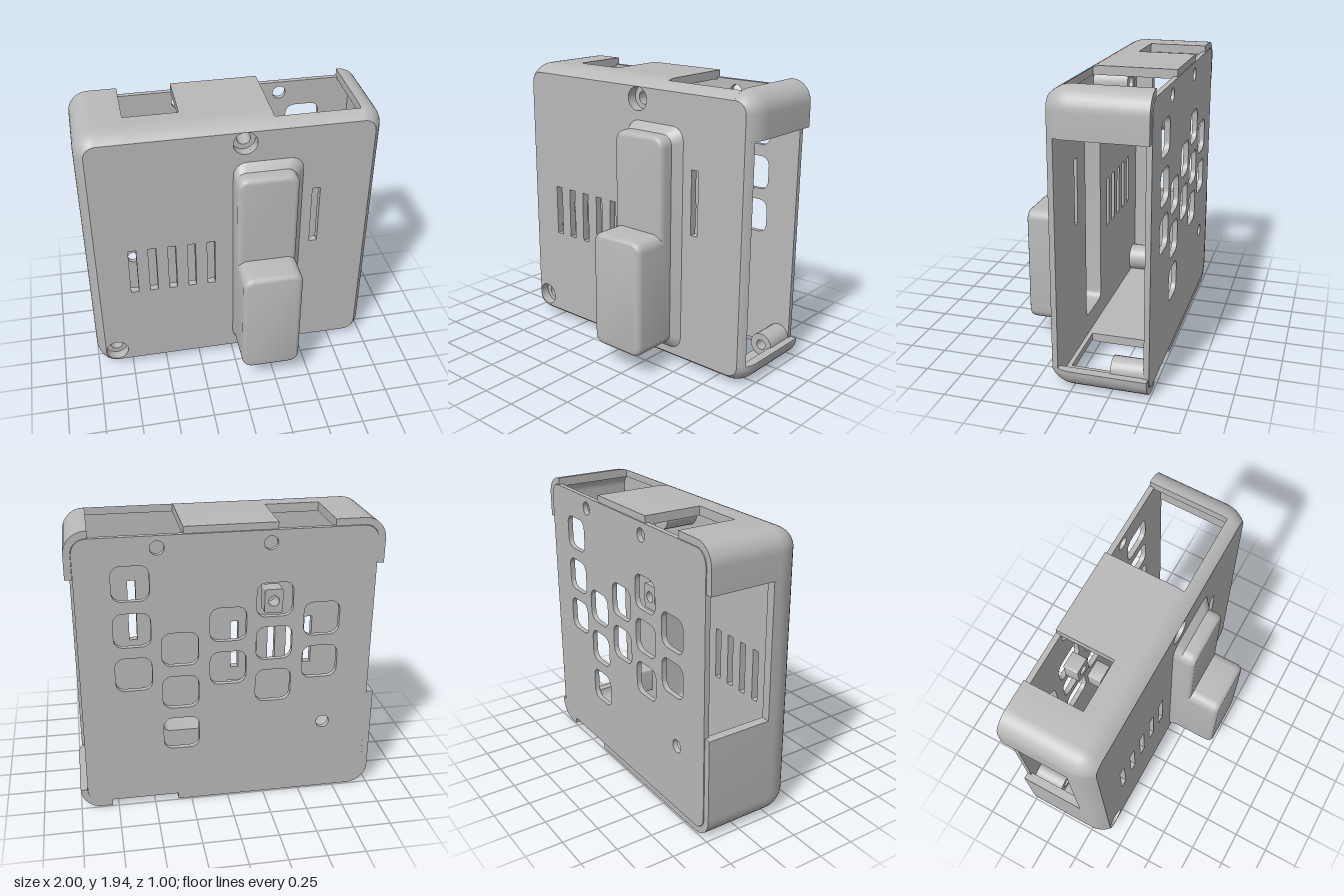
import * as THREE from 'three';
import { toCreasedNormals } from 'three/addons/utils/BufferGeometryUtils.js';

const H = 1.94, R = 0.14, FRONT = 0.14, BACK = -0.49;
const V2 = (x, y) => new THREE.Vector2(x, y);
const V3 = (x, y, z) => new THREE.Vector3(x, y, z);

// Counter-clockwise rounded rectangle
function rrect(x0, x1, y0, y1, r) {
  const pts = [];
  const centres = [[x1 - r, y1 - r], [x0 + r, y1 - r], [x0 + r, y0 + r], [x1 - r, y0 + r]];
  centres.forEach(([cx, cy], k) => {
    for (let i = 0; i <= 6; i++) {
      const a = (k + i / 6) * Math.PI / 2;
      pts.push(V2(cx + r * Math.cos(a), cy + r * Math.sin(a)));
    }
  });
  return pts;
}

function circle(x, y, r) {
  return rrect(x - r, x + r, y - r, y + r, r - 1e-4);
}

function shapeOf(outline, holes = []) {
  const s = new THREE.Shape(outline);
  s.holes = holes.map((h) => new THREE.Path(h));
  return s;
}

function slab(outline, holes, z0, z1) {
  const g = new THREE.ExtrudeGeometry(shapeOf(outline, holes), { depth: z1 - z0, bevelEnabled: false });
  g.translate(0, 0, z0);
  return toCreasedNormals(g, 0.5);
}

// Quads between successive rings, as a list of triangle corners
function skin(rings) {
  const out = [];
  for (let j = 0; j < rings.length - 1; j++) {
    for (let i = 0; i < rings[j].length - 1; i++) {
      const a = rings[j][i], b = rings[j][i + 1], c = rings[j + 1][i + 1], d = rings[j + 1][i];
      out.push(a, b, c, a, c, d);
    }
  }
  return out;
}

function geometryFrom(points, flip = false) {
  const list = flip ? points.slice().reverse() : points;
  return toCreasedNormals(new THREE.BufferGeometry().setFromPoints(list), 0.5);
}

// Stack of rounded rectangles [x0, x1, y0, y1, radius, z] with an end cap
function loft(layers, capHole, flip) {
  const rings = layers.map(([x0, x1, y0, y1, r, z]) => {
    const ring = rrect(x0, x1, y0, y1, r).map((p) => V3(p.x, p.y, z));
    return [...ring, ring[0]];
  });
  const tris = skin(rings);
  const [x0, x1, y0, y1, r, z] = layers[layers.length - 1];
  const cap = new THREE.ShapeGeometry(shapeOf(rrect(x0, x1, y0, y1, r), capHole ? [capHole] : []));
  const pos = cap.attributes.position;
  for (const k of cap.index.array) tris.push(V3(pos.getX(k), pos.getY(k), z));
  return geometryFrom(tris, flip);
}

// Curved inset of the case edge towards the front
const ARC = (FRONT * FRONT + 0.06 * 0.06) / 0.12;
const inset = (z) => (z <= 0 ? 0 : ARC - Math.sqrt(ARC * ARC - z * z));

// Wall section from zBack to the front, swept along part of the outline
function wall(path, zBack) {
  const profile = [V2(inset(zBack), zBack)];
  const zs = Math.max(0, zBack);
  for (let i = zBack < 0 ? 0 : 1; i <= 7; i++) {
    const z = zs + (FRONT - zs) * i / 7;
    profile.push(V2(inset(z), z));
  }
  if (zBack === BACK) profile.push(V2(0.06, -0.46), V2(0.045, -0.46), V2(0.045, BACK));
  else profile.push(V2(0.06, zBack));
  const at = ([cx, cy, nx, ny], p) => V3(cx + nx * (R - p.x), cy + ny * (R - p.x), p.y);
  const tris = skin([...profile, profile[0]].map((p) => path.map((s) => at(s, p))));
  const ccw = profile.slice().reverse();
  for (const [a, b, c] of THREE.ShapeUtils.triangulateShape(ccw, [])) {
    const end = path[path.length - 1];
    tris.push(at(end, ccw[a]), at(end, ccw[b]), at(end, ccw[c]));
    tris.push(at(path[0], ccw[c]), at(path[0], ccw[b]), at(path[0], ccw[a]));
  }
  return geometryFrom(tris);
}

export function createModel() {
  const model = new THREE.Group();
  model.name = 'deviceCase';
  const grey = new THREE.MeshStandardMaterial({ color: 0xb8b8b8 });
  grey.name = 'casing grey';
  const add = (name, geometry) => {
    const mesh = new THREE.Mesh(geometry, grey);
    mesh.name = name;
    model.add(mesh);
    return mesh;
  };

  // Outline stations: point on the inner rectangle plus outward normal
  const X = 1 - R, Y0 = R, Y1 = H - R;
  const right = (y) => [X, y, 1, 0], left = (y) => [-X, y, -1, 0];
  const top = (x) => [x, Y1, 0, 1], bottom = (x) => [x, Y0, 0, -1];
  const corner = (cx, cy, quarter) => Array.from({ length: 9 }, (_, i) => {
    const a = (quarter + i / 8) * Math.PI / 2;
    return [cx, cy, Math.cos(a), Math.sin(a)];
  });

  // Case walls, with openings where a section starts further forward
  add('rightOpeningEdge', wall([right(Y0), right(1.64)], 0.09));
  add('topRightCorner', wall([right(1.64), ...corner(X, Y1, 0), top(0.85)], BACK));
  add('topOpeningEdge', wall([top(0.85), top(0.28)], 0.06));
  add('topWall', wall([top(0.28), top(-0.31)], BACK));
  add('topNotchEdge', wall([top(-0.31), top(-0.67)], -0.09));
  add('topLeftCorner', wall([top(-0.67), ...corner(-X, Y1, 1), left(1.64)], BACK));
  add('leftOpeningEdge', wall([left(1.64), left(0.72)], -0.04));
  add('bottomWall', wall([left(0.72), ...corner(-X, Y0, 2), bottom(0.34)], BACK));
  add('bottomOpeningEdge', wall([bottom(0.34), bottom(0.79)], 0.06));
  add('bottomRightCorner', wall([bottom(0.79), ...corner(X, Y0, 3)], BACK));

  // Front panel with vents, screw holes and the hollow behind the raised housing
  const screws = [[0.08, 1.8], [-0.86, 0.15]];
  const slot = (x0, y0, y1) => [V2(x0, y0), V2(x0 + 0.055, y0), V2(x0 + 0.055, y1), V2(x0, y1)];
  const vents = [0, 1, 2, 3, 4].map((i) => slot(-0.72 + i * 0.135, 0.69, 1.05));
  add('frontPanel', slab(rrect(-0.94, 0.94, 0.06, H - 0.06, 0.08), [
    ...vents, slot(0.54, 0.96, 1.4),
    ...screws.map(([x, y]) => circle(x, y, 0.08)),
    rrect(0.04, 0.375, 0.2, 1.57, 0.05),
  ], 0.09, FRONT));

  // Recessed screw bosses behind the front panel
  const bossProfile = [[0.045, -0.14], [0.1, -0.14], [0.1, 0.1], [0.08, 0.1], [0.08, 0.07], [0.045, 0.07], [0.045, -0.14]];
  for (const [x, y] of screws) {
    const g = new THREE.LatheGeometry(bossProfile.map(([r, z]) => V2(r, z)), 32);
    g.rotateX(Math.PI / 2);
    add('screwBoss', toCreasedNormals(g, 0.5)).position.set(x, y, 0);
  }

  // Raised housing: sloped foot, shallow upper half and deep lower half
  const layer = (y1, d, z) => [0.005 + d, 0.415 - d, 0.155 + d, y1 - d, 0.07 - d, z];
  const deepHole = rrect(0.04, 0.375, 0.2, 0.92, 0.05);
  add('housingUpper', loft([
    [0, 0.47, 0.11, 1.66, 0.09, 0.14], layer(1.61, 0, 0.19), layer(1.61, 0, 0.25),
    layer(1.61, 0.006, 0.269), layer(1.61, 0.014, 0.279), layer(1.61, 0.028, 0.285),
  ], deepHole, false));
  add('housingLower', loft([
    layer(0.96, 0, 0.19), layer(0.96, 0, 0.465),
    layer(0.96, 0.006, 0.483), layer(0.96, 0.014, 0.493), layer(0.96, 0.028, 0.5),
  ], null, false));
  add('housingHollow', loft([
    [0.04, 0.375, 0.2, 1.57, 0.05, 0.1], [0.04, 0.375, 0.2, 1.57, 0.05, 0.245],
  ], deepHole, true));
  add('housingDeepHollow', loft([
    [0.04, 0.375, 0.2, 0.92, 0.05, 0.245], [0.04, 0.375, 0.2, 0.92, 0.05, 0.46],
  ], null, true));

  // Back plate: staggered rounded windows and three small holes
  const columns = [
    [0.61, [1.595, 1.285, 0.98]], [0.31, [1.135, 0.83, 0.525]], [0, [1.285, 0.98]],
    [-0.3, [1.435, 1.135, 0.83]], [-0.61, [1.285, 0.98]],
  ];
  const windows = columns.flatMap(([x, ys]) => ys.map((y) =>
    rrect(x - 0.118, x + 0.118, y - 0.115, y + 0.115, 0.06)));
  const holes = [[0.44, 1.815], [-0.265, 1.81], [-0.655, 0.52]].map(([x, y]) => circle(x, y, 0.045));
  add('backPlate', slab(rrect(-0.953, 0.953, 0.047, H - 0.047, 0.093), [...windows, ...holes], -0.495, -0.46));

  // Hollow mounting posts on the back plate
  for (const [x, y] of [[0.87, 0.14], [0.26, 1.63], [-0.86, 0.55]]) {
    add('mountingPost', slab(circle(x, y, 0.08), [circle(x, y, 0.035)], -0.46, -0.245));
  }

  // Small support blocks on the back plate
  for (const [x, y, w] of [[-0.08, 0.74, 0.14], [-0.3, 1.41, 0.12]]) {
    add('supportBlock', slab(rrect(x - w / 2, x + w / 2, y - 0.08, y + 0.08, 0.01),
      [circle(x, y, 0.035)], -0.46, -0.355));
  }
  return model;
}
